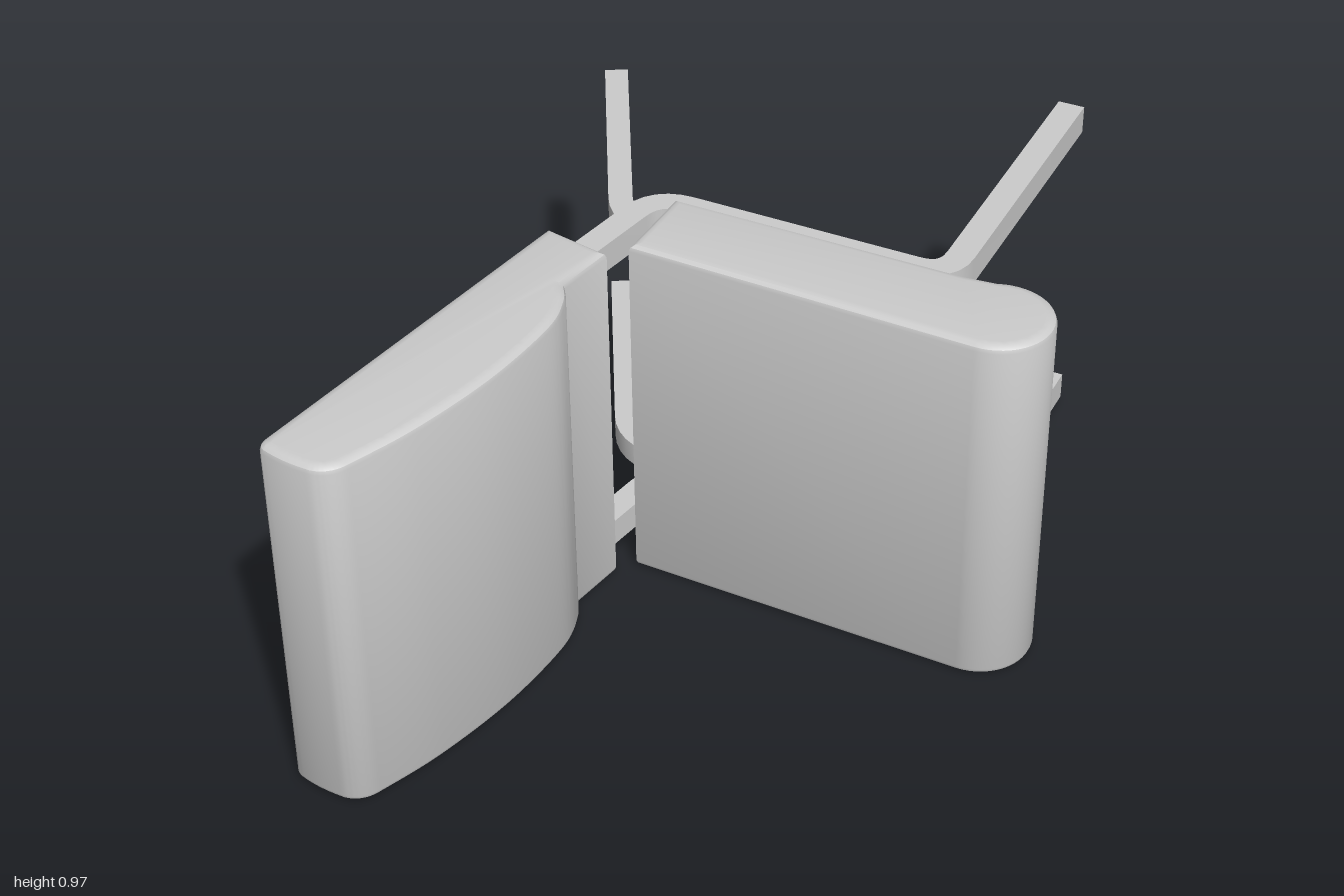
import * as THREE from 'three';
import { toCreasedNormals } from 'three/addons/utils/BufferGeometryUtils.js';

const material = new THREE.MeshStandardMaterial({ color: 0xcccccc });
const V = (x, y, z) => new THREE.Vector3(x, y, z);

function addMesh(group, name, geometry) {
  const mesh = new THREE.Mesh(toCreasedNormals(geometry, 0.45), material);
  mesh.name = name;
  group.add(mesh);
}

// Cushion: an (x, z) outline extruded along y with softened rims
function cushion(shape) {
  const rim = 0.018, inset = 0.025, bottom = 0.006, top = 0.974;
  const geometry = new THREE.ExtrudeGeometry(shape, {
    depth: top - bottom - 2 * rim, curveSegments: 14,
    bevelThickness: rim, bevelSize: inset, bevelOffset: -inset, bevelSegments: 3,
  });
  geometry.rotateX(Math.PI / 2);
  geometry.translate(0, top - rim, 0);
  return geometry;
}

// Rectangular bar swept along a polyline with rounded corners
function bar(corners, radius, width, height) {
  const path = [], tangents = [];
  const dir = (a, b) => b.clone().sub(a).normalize();
  const last = corners.length - 1;
  path.push(corners[0]);
  tangents.push(dir(corners[0], corners[1]));
  for (let i = 1; i < last; i++) {
    const c = corners[i], a = dir(corners[i - 1], c), b = dir(c, corners[i + 1]);
    const curve = new THREE.QuadraticBezierCurve3(
      c.clone().addScaledVector(a, -radius), c, c.clone().addScaledVector(b, radius));
    for (let k = 0; k <= 6; k++) {
      path.push(curve.getPoint(k / 6));
      tangents.push(curve.getTangent(k / 6));
    }
  }
  path.push(corners[last]);
  tangents.push(dir(corners[last - 1], corners[last]));

  // Carry the section's up direction along the path
  const up = V(0, 1, 0), positions = [], index = [];
  path.forEach((p, i) => {
    const t = tangents[i];
    up.addScaledVector(t, -up.dot(t)).normalize();
    const side = V().crossVectors(up, t);
    for (const [s, u] of [[-1, -1], [1, -1], [1, 1], [-1, 1]]) {
      const q = p.clone().addScaledVector(side, s * width / 2).addScaledVector(up, u * height / 2);
      positions.push(q.x, q.y, q.z);
    }
  });
  for (let i = 0; i < path.length - 1; i++) {
    for (let j = 0; j < 4; j++) {
      const a = i * 4 + j, b = i * 4 + (j + 1) % 4;
      index.push(a, b, b + 4, a, b + 4, a + 4);
    }
  }
  const e = (path.length - 1) * 4;
  index.push(0, 2, 1, 0, 3, 2, e, e + 1, e + 2, e, e + 2, e + 3);
  const geometry = new THREE.BufferGeometry();
  geometry.setAttribute('position', new THREE.Float32BufferAttribute(positions, 3));
  geometry.setIndex(index);
  return geometry;
}

export function createModel() {
  const group = new THREE.Group();
  group.name = 'chair';

  // Seat with a rolled front edge
  const seat = new THREE.Shape();
  seat.moveTo(-0.26, 0);
  seat.lineTo(0.602, 0.153);
  seat.absarc(0.625, 0.02, 0.135, 1.74, -1.8, true);
  seat.lineTo(0.52, -0.115);
  seat.lineTo(-0.22, -0.23);
  seat.closePath();
  addMesh(group, 'seat', cushion(seat));

  // Backrest with a bulging front and a narrow flat strip at its base
  const back = new THREE.Shape();
  back.moveTo(-0.465, -0.02);
  back.lineTo(-0.3, 0.04);
  back.lineTo(-0.35, 0.19);
  back.splineThru([[-0.328, 0.25], [-0.325, 0.36], [-0.38, 0.58], [-0.47, 0.8], [-0.56, 0.96]]
    .map(([x, z]) => new THREE.Vector2(x, z)));
  back.quadraticCurveTo(-0.585, 1.0, -0.63, 1.0);
  back.quadraticCurveTo(-0.7, 0.99, -0.75, 0.965);
  back.quadraticCurveTo(-0.775, 0.955, -0.765, 0.92);
  back.lineTo(-0.475, 0.01);
  back.closePath();
  addMesh(group, 'backrest', cushion(back));

  // Outer bars: backrest support, seat rail and front leg in one piece
  for (const [side, y] of [['left', 0.065], ['right', 0.897]]) {
    addMesh(group, side + 'FrontLegBar', bar([
      V(-0.4, y, 0.06), V(-0.285, y, -0.28), V(0.465, y, -0.163), V(0.582, y, -0.995),
    ], 0.085, 0.068, 0.073));
  }

  // Inner bar: both back legs joined by a loop under the seat
  const low = 0.14, high = 0.81;
  addMesh(group, 'backLegLoop', bar([
    V(-0.625, low, -0.97), V(-0.38, low, -0.291), V(0.42, low, -0.165),
    V(0.42, high, -0.165), V(-0.38, high, -0.291), V(-0.625, high, -0.97),
  ], 0.1, 0.06, 0.062));

  return group;
}
